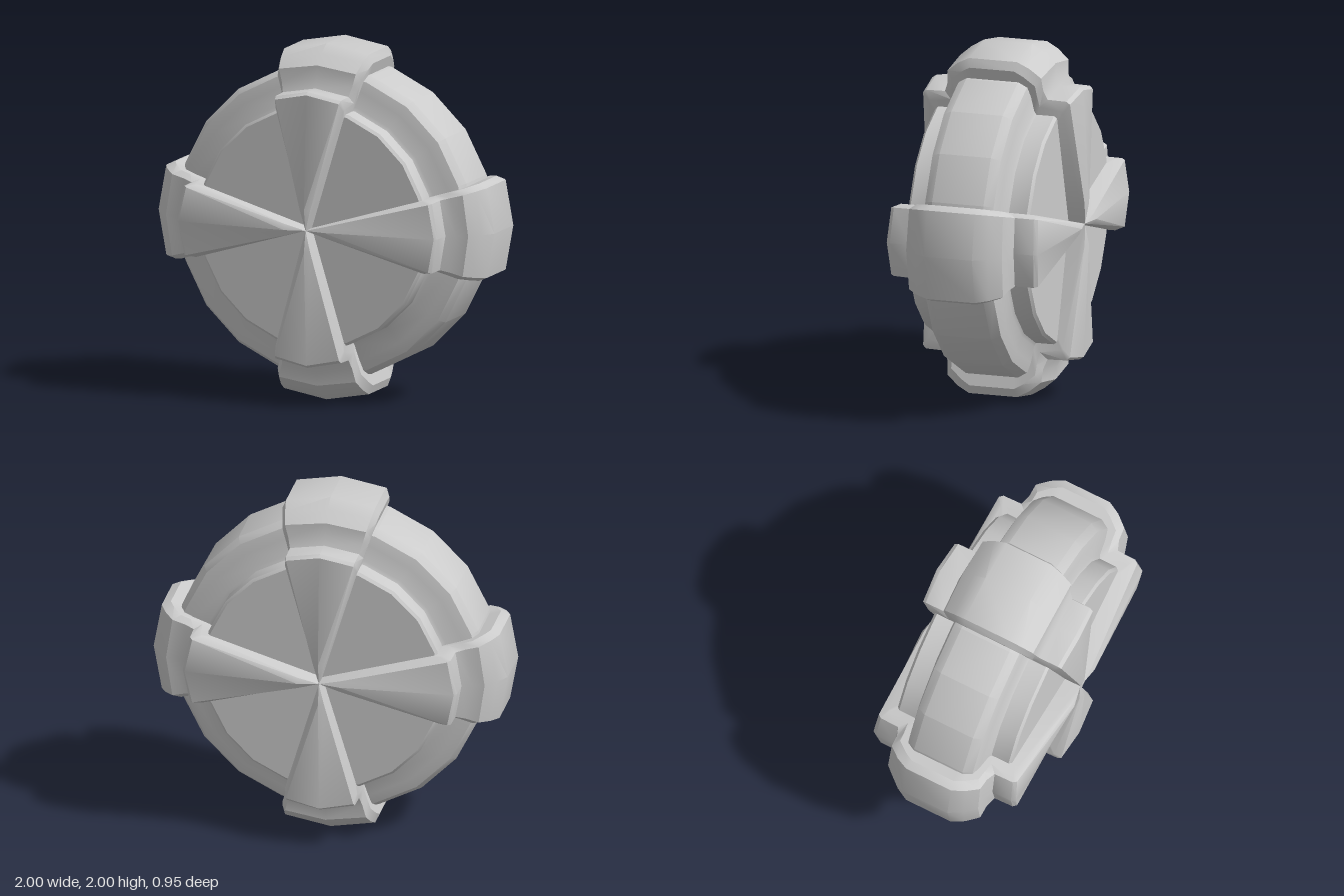
import * as THREE from 'three';
import { toCreasedNormals } from 'three/addons/utils/BufferGeometryUtils.js';

// Half profiles as [radius, z], front axis to outer rim; mirrored to the back
const mirrorProfile = (half) => [...half, ...half.slice().reverse().map(([r, z]) => [r, -z])];

const STRAP_MID = mirrorProfile([
  [0, 0.45], [0.12, 0.475], [0.76, 0.443], [0.775, 0.42], [0.775, 0.305],
  [0.83, 0.283], [0.9, 0.28], [0.955, 0.215], [1.0, 0.14]]);
const STRAP_SHOULDER = mirrorProfile([
  [0, 0.45], [0.12, 0.46], [0.745, 0.43], [0.762, 0.41], [0.765, 0.3],
  [0.82, 0.28], [0.895, 0.275], [0.95, 0.21], [0.987, 0.14]]);
const STRAP_EDGE = mirrorProfile([
  [0, 0.45], [0.12, 0.435], [0.70, 0.392], [0.71, 0.385], [0.73, 0.26],
  [0.80, 0.25], [0.86, 0.245], [0.915, 0.18], [0.945, 0.13]]);

// Wedge strap: profiles swept over five angles around z, closed by end caps
function strapGeometry() {
  const deg = Math.PI / 180;
  const stations = [
    [-16.8, STRAP_EDGE], [-14.8, STRAP_SHOULDER], [0, STRAP_MID],
    [14.8, STRAP_SHOULDER], [16.8, STRAP_EDGE]];
  const rows = stations.map(([a, profile]) => profile.map(([r, z]) =>
    new THREE.Vector3(r * Math.sin(a * deg), r * Math.cos(a * deg), z)));
  const pos = [];
  const tri = (a, b, c) => {
    const n = b.clone().sub(a).cross(c.clone().sub(a));
    if (n.length() > 1e-9) [a, b, c].forEach((p) => pos.push(p.x, p.y, p.z));
  };
  const origin = new THREE.Vector3();
  const last = rows.length - 1;
  for (let i = 0; i < STRAP_MID.length - 1; i++) {
    for (let j = 0; j < last; j++) {
      const a = rows[j][i], b = rows[j + 1][i];
      const c = rows[j + 1][i + 1], d = rows[j][i + 1];
      tri(a, b, c);
      tri(a, c, d);
    }
    tri(origin, rows[0][i], rows[0][i + 1]);
    tri(origin, rows[last][i + 1], rows[last][i]);
  }
  const geo = new THREE.BufferGeometry();
  geo.setAttribute('position', new THREE.Float32BufferAttribute(pos, 3));
  return toCreasedNormals(geo, 0.6);
}

// Twenty-sided wheel turned around z: raised hub faces and a rounded rim
function wheelGeometry() {
  const profile = mirrorProfile([
    [0, 0.355], [0.665, 0.355], [0.68, 0.34], [0.68, 0.235],
    [0.70, 0.225], [0.79, 0.215], [0.85, 0.2], [0.88, 0.15]]);
  const points = profile.reverse().map(([r, z]) => new THREE.Vector2(r, z));
  const geo = new THREE.LatheGeometry(points, 20);
  geo.rotateX(Math.PI / 2);
  geo.deleteAttribute('normal');
  geo.deleteAttribute('uv');
  return toCreasedNormals(geo.toNonIndexed(), 0.6);
}

export function createModel() {
  const model = new THREE.Group();
  model.name = 'strappedWheel';
  const material = new THREE.MeshStandardMaterial({ color: 0xcccccc });

  const wheel = new THREE.Mesh(wheelGeometry(), material);
  wheel.name = 'wheel';
  wheel.position.y = 1;
  model.add(wheel);

  // Four straps at right angles
  const geo = strapGeometry();
  ['topStrap', 'rightStrap', 'bottomStrap', 'leftStrap'].forEach((name, i) => {
    const strap = new THREE.Mesh(geo, material);
    strap.name = name;
    strap.position.y = 1;
    strap.rotation.z = i * Math.PI / 2;
    model.add(strap);
  });
  return model;
}
